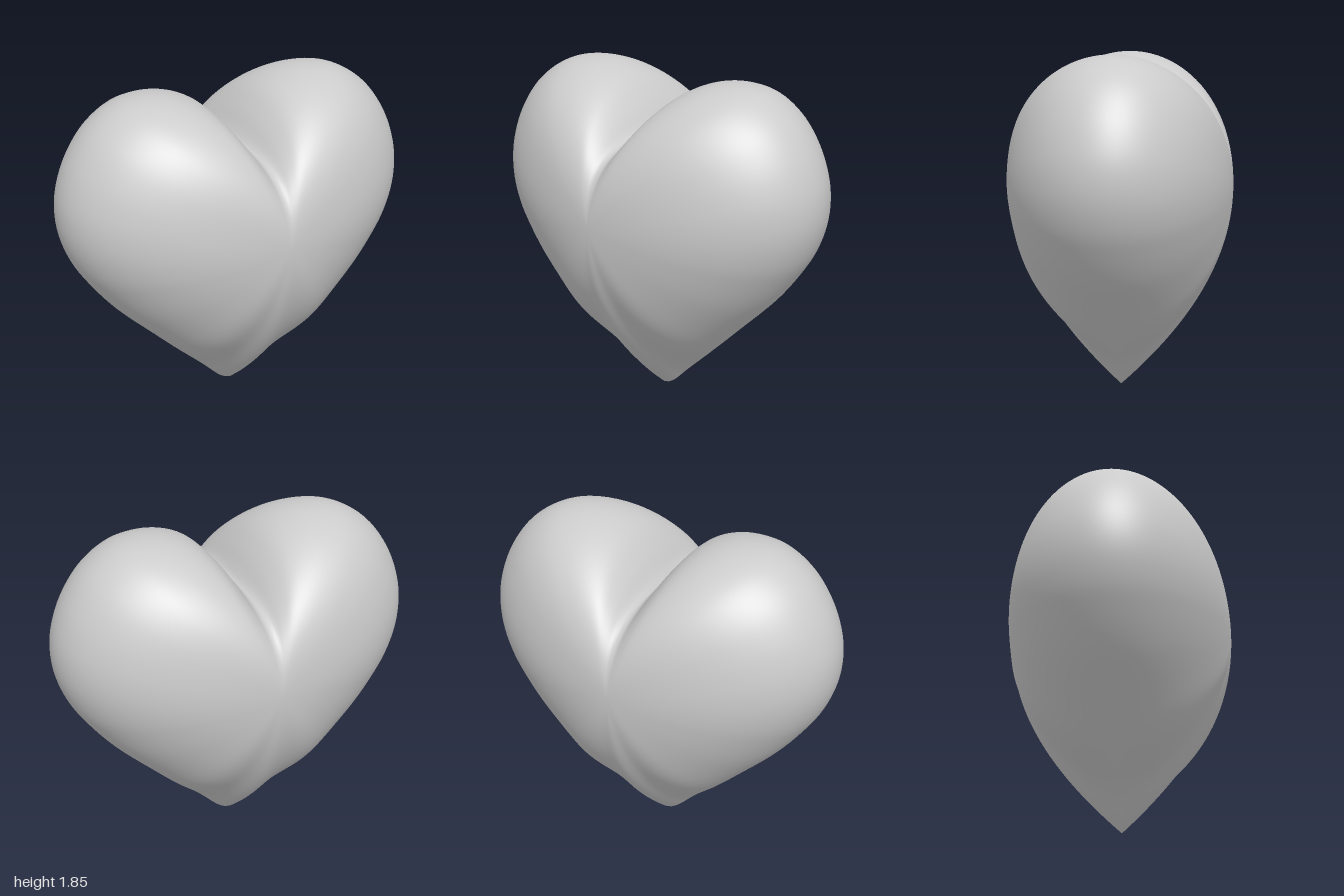
import * as THREE from 'three';
import { mergeVertices } from 'three/addons/utils/BufferGeometryUtils.js';

const MID_Y = 1.13;   // height of the thickest point
const DEPTH = 0.615;  // half thickness there
const HALF = 90;      // outline steps per side
const RINGS = 96;     // rings from front pole to back pole

// Right half of the outline, from the cleft round the lobe to the tip
const half = new THREE.CatmullRomCurve3([
  [0, 1.53], [0.03, 1.565], [0.1, 1.67], [0.2, 1.775], [0.33, 1.835], [0.48, 1.855],
  [0.64, 1.83], [0.8, 1.73], [0.92, 1.57], [0.985, 1.4], [1, 1.27], [0.985, 1.14],
  [0.935, 1.0], [0.87, 0.89], [0.74, 0.715], [0.5, 0.465], [0.31, 0.27],
  [0.18, 0.142], [0.075, 0.035], [0.035, 0.009], [0, 0],
].map(([x, y]) => new THREE.Vector3(x, y, 0)), false, 'centripetal').getSpacedPoints(HALF);

// Full closed outline, mirrored in x
const outline = [
  ...half,
  ...half.slice(1, -1).reverse().map((p) => new THREE.Vector3(-p.x, p.y, 0)),
];

function surfacePoint(p, phi) {
  const s = Math.sin(phi);
  const c = Math.cos(phi);

  // The cleft opens into a soft dip towards the front and back
  const e = 0.14 * (1 - s * s);
  const weight = THREE.MathUtils.clamp((p.y - MID_Y) / 0.4, 0, 1);
  const dx = Math.abs(p.x);
  const py = p.y + weight * 1.2 * (Math.sqrt(dx * dx + e * e) - dx);

  // Elliptical section everywhere, narrowing to a parabola above the tip
  const down = Math.max(0, (MID_Y - p.y) / Math.hypot(p.x, p.y - MID_Y));
  const power = 1 + Math.pow(down, 22);
  const z = Math.sign(c) * DEPTH * Math.pow(Math.abs(c), power);

  return [p.x * s, MID_Y + (py - MID_Y) * s, z];
}

function heartGeometry() {
  const n = outline.length;
  const positions = [];
  const indices = [];
  for (let i = 0; i <= RINGS; i++) {
    for (const p of outline) positions.push(...surfacePoint(p, (i / RINGS) * Math.PI));
  }
  for (let i = 0; i < RINGS; i++) {
    for (let j = 0; j < n; j++) {
      const k = (j + 1) % n;
      const a = i * n + j, b = i * n + k, c = a + n, d = b + n;
      if (i > 0) indices.push(a, b, c);
      if (i < RINGS - 1) indices.push(b, d, c);
    }
  }
  let geometry = new THREE.BufferGeometry();
  geometry.setAttribute('position', new THREE.Float32BufferAttribute(positions, 3));
  geometry.setIndex(indices);
  // Join the points at both poles so the shading is smooth there
  geometry = mergeVertices(geometry, 1e-5);
  geometry.computeVertexNormals();
  return geometry;
}

export function createModel() {
  const group = new THREE.Group();
  group.name = 'heart';
  const body = new THREE.Mesh(
    heartGeometry(),
    new THREE.MeshStandardMaterial({ color: 0xcccccc }),
  );
  body.name = 'heartBody';
  group.add(body);
  return group;
}
